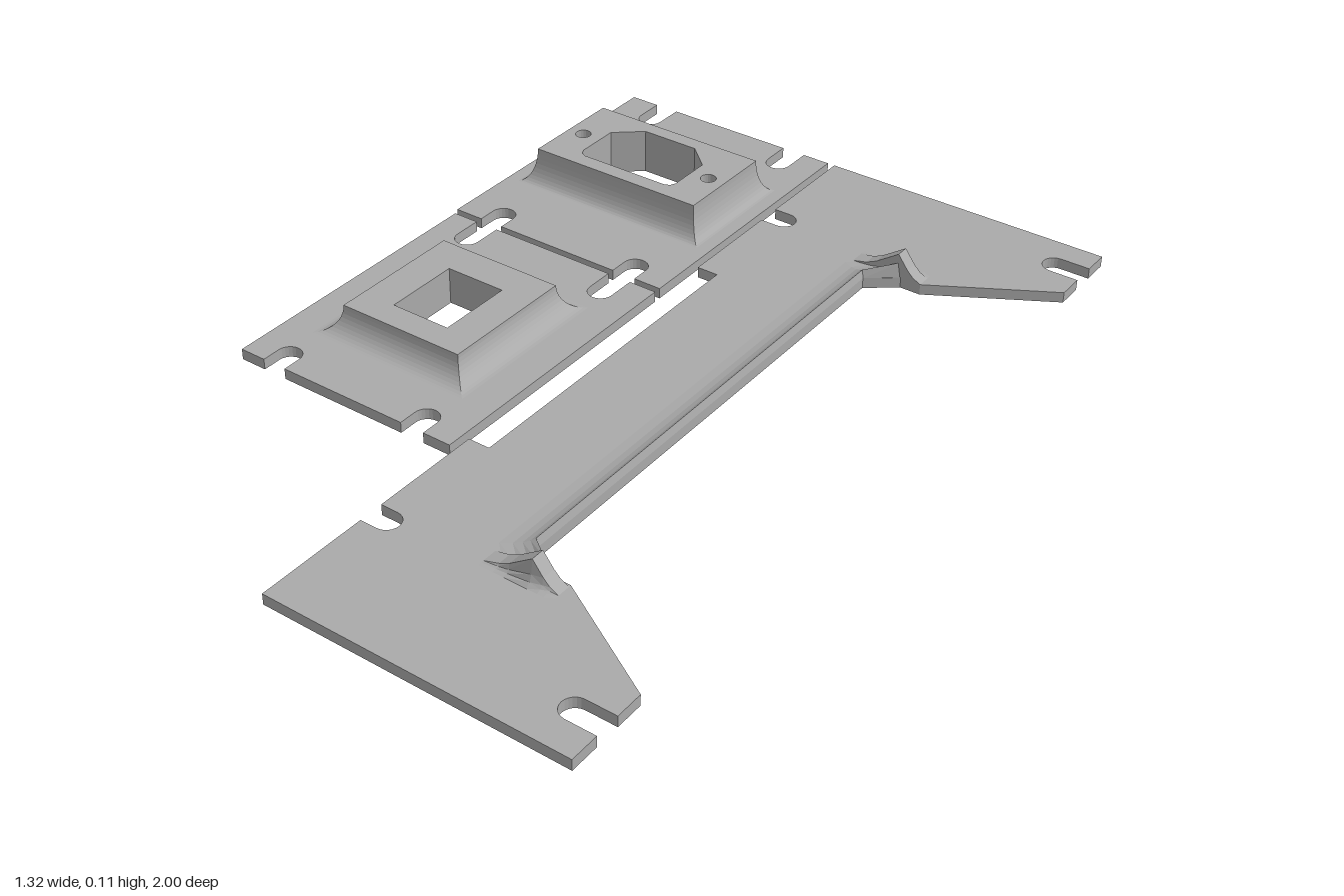
import * as THREE from 'three';

const T = 0.026; // plate thickness

// U-shaped notch from mouth corner a to b, cut inward along n
function notch(a, b, n, depth) {
  const r = Math.hypot(b[0] - a[0], b[1] - a[1]) / 2;
  const m = [(a[0] + b[0]) / 2, (a[1] + b[1]) / 2];
  const pts = [a];
  for (let i = 0; i <= 12; i++) {
    const c = Math.cos(Math.PI * i / 12), s = Math.sin(Math.PI * i / 12);
    pts.push([0, 1].map(k => m[k] + n[k] * (depth - r + r * s) + (a[k] - m[k]) * c));
  }
  pts.push(b);
  return pts;
}

const rect = (x0, x1, z0, z1) => [[x0, z0], [x1, z0], [x1, z1], [x0, z1]];
const circle = (x, z, r) => Array.from({ length: 20 }, (_, i) =>
  [x + r * Math.cos(i * Math.PI / 10), z + r * Math.sin(i * Math.PI / 10)]);
const vecs = pts => pts.map(([x, z]) => new THREE.Vector2(x, -z));

// Flat slab with holes, outline given as [x, z]
function slab(outline, holes, y0, y1) {
  const shape = new THREE.Shape(vecs(outline));
  holes.forEach(h => shape.holes.push(new THREE.Path(vecs(h))));
  const g = new THREE.ExtrudeGeometry(shape, { depth: y1 - y0, bevelEnabled: false });
  return g.rotateX(-Math.PI / 2).translate(0, y0, 0);
}

// Skin through equal-length rows of [x, y, z] points
function loft(rows, flip = false) {
  const n = rows[0].length, idx = [];
  for (let i = 0; i < rows.length - 1; i++) {
    for (let j = 0; j < n - 1; j++) {
      const a = i * n + j, b = a + 1, c = a + n, d = c + 1;
      idx.push(...(flip ? [a, c, b, b, c, d] : [a, b, c, b, d, c]));
    }
  }
  let g = new THREE.BufferGeometry();
  g.setAttribute('position', new THREE.Float32BufferAttribute(rows.flat(2), 3));
  g.setIndex(idx);
  g = g.toNonIndexed();
  g.computeVertexNormals();
  return g;
}

// Concave skirt around a raised rectangular pad
function skirt([x0, x1, z0, z1], top, spread) {
  const rows = [];
  for (let i = 0; i <= 10; i++) {
    const a = i / 10 * Math.PI / 2;
    const o = spread * (1 - Math.cos(a)), y = top - (top - T) * Math.sin(a);
    const r = rect(x0 - o, x1 + o, z0 - o, z1 + o);
    rows.push([...r, r[0]].map(([x, z]) => [x, y, z]));
  }
  return loft(rows);
}

export function createModel() {
  const model = new THREE.Group();
  const grey = new THREE.MeshStandardMaterial({ color: 0xaaaaaa, side: THREE.DoubleSide });
  grey.name = 'plain grey';
  const add = (name, geometry, parent = model) => {
    const mesh = new THREE.Mesh(geometry, grey);
    mesh.name = name;
    parent.add(mesh);
    return mesh;
  };

  // Notched cover plate carrying a raised pad
  function cover(name, [x0, x1, z0, z1], backDepth, frontDepth, pad, top, spread, holes) {
    const group = new THREE.Group();
    group.name = name;
    const l = -0.56, r = -0.175, w = 0.03;
    const outline = [
      [x0, z0],
      ...notch([l - w, z0], [l + w, z0], [0, 1], backDepth),
      ...notch([r - w, z0], [r + w, z0], [0, 1], backDepth),
      [x1, z0], [x1, z1],
      ...notch([r + w, z1], [r - w, z1], [0, -1], frontDepth),
      ...notch([l + w, z1], [l - w, z1], [0, -1], frontDepth),
      [x0, z1],
    ];
    add(name + 'Plate', slab(outline, holes, 0, T), group);
    add(name + 'Pad', slab(rect(...pad), holes, T, top), group);
    add(name + 'Skirt', skirt(pad, top, spread), group);
    model.add(group);
    return group;
  }

  // Power inlet cover: chamfered opening and two screw holes
  const inlet = [[-0.44, -0.74], [-0.295, -0.74], [-0.235, -0.685], [-0.235, -0.575],
    [-0.241, -0.561], [-0.255, -0.555], [-0.485, -0.555], [-0.499, -0.561],
    [-0.505, -0.575], [-0.505, -0.685]];
  cover('inletCover', [-0.663, -0.075, -1, -0.287], 0.1, 0.075,
    [-0.597, -0.143, -0.777, -0.515], 0.11, 0.035,
    [inlet, circle(-0.555, -0.64, 0.019), circle(-0.187, -0.64, 0.019)]);

  // Jack cover: square opening with a sloped ledge
  const jack = cover('jackCover', [-0.655, -0.075, -0.27, 0.443], 0.1, 0.075,
    [-0.527, -0.207, -0.08, 0.255], 0.09, 0.05, [rect(-0.44, -0.29, 0.005, 0.19)]);
  add('jackLedge', loft([
    [[-0.44, 0.07, 0.19], [-0.44, 0.03, 0.165], [-0.44, 0, 0.165], [-0.44, 0, 0.19]],
    [[-0.29, 0.07, 0.19], [-0.29, 0.03, 0.165], [-0.29, 0, 0.165], [-0.29, 0, 0.19]],
  ]), jack);

  // Long bracket with flared feet
  const bracket = new THREE.Group();
  bracket.name = 'bracket';
  model.add(bracket);
  add('bracketPlate', slab([
    [-0.057, -1], [0.66, -1],
    ...notch([0.66, -0.935], [0.66, -0.875], [-1, 0], 0.1),
    [0.66, -0.81], [0.385, -0.648], [0.335, -0.648], [0.268, -0.595],
    [0.268, 0.59], [0.335, 0.643], [0.385, 0.643], [0.66, 0.803],
    ...notch([0.66, 0.87], [0.66, 0.93], [-1, 0], 0.1),
    [0.66, 1], [-0.057, 1],
    ...notch([-0.057, 0.73], [-0.057, 0.67], [1, 0], 0.072),
    [-0.057, 0.403], [-0.005, 0.403], [-0.005, -0.412], [-0.057, -0.412],
    ...notch([-0.057, -0.675], [-0.057, -0.735], [1, 0], 0.072),
  ], [], 0, T), bracket);

  // Raised stiffening lip along the inner edge
  const lipRow = (x, z, h, ix, iz) => {
    const at = (f, y) => [x + (ix - x) * f, y, z + (iz - z) * f];
    return [at(0, T), at(0.06, h), at(0.2, T + (h - T) * 0.66), at(0.4, T + (h - T) * 0.34),
      at(0.65, T + (h - T) * 0.11), at(1, T)];
  };
  add('stiffeningLip', loft([
    lipRow(0.335, -0.65, 0.062, 0.25, -0.68), lipRow(0.268, -0.595, 0.046, 0.2, -0.63),
    lipRow(0.268, 0.59, 0.046, 0.2, 0.625), lipRow(0.335, 0.645, 0.062, 0.25, 0.675),
  ], true), bracket);

  // Peaked gussets at both ends of the lip
  const profile = [[0.21, 0], [0.245, 0.008], [0.27, 0.02], [0.325, 0.058],
    [0.35, 0.025], [0.365, 0.01], [0.385, 0]];
  for (const side of [-1, 1]) {
    const rows = [[0.648, 0], [0.648, 1], [0.68, 1], [0.684, 0.4], [0.69, 0.15], [0.7, 0]]
      .map(([z, s]) => profile.map(([x, h]) => [x, T + h * s, z * side]));
    add('gusset', loft(rows, side > 0), bracket);
  }
  return model;
}
